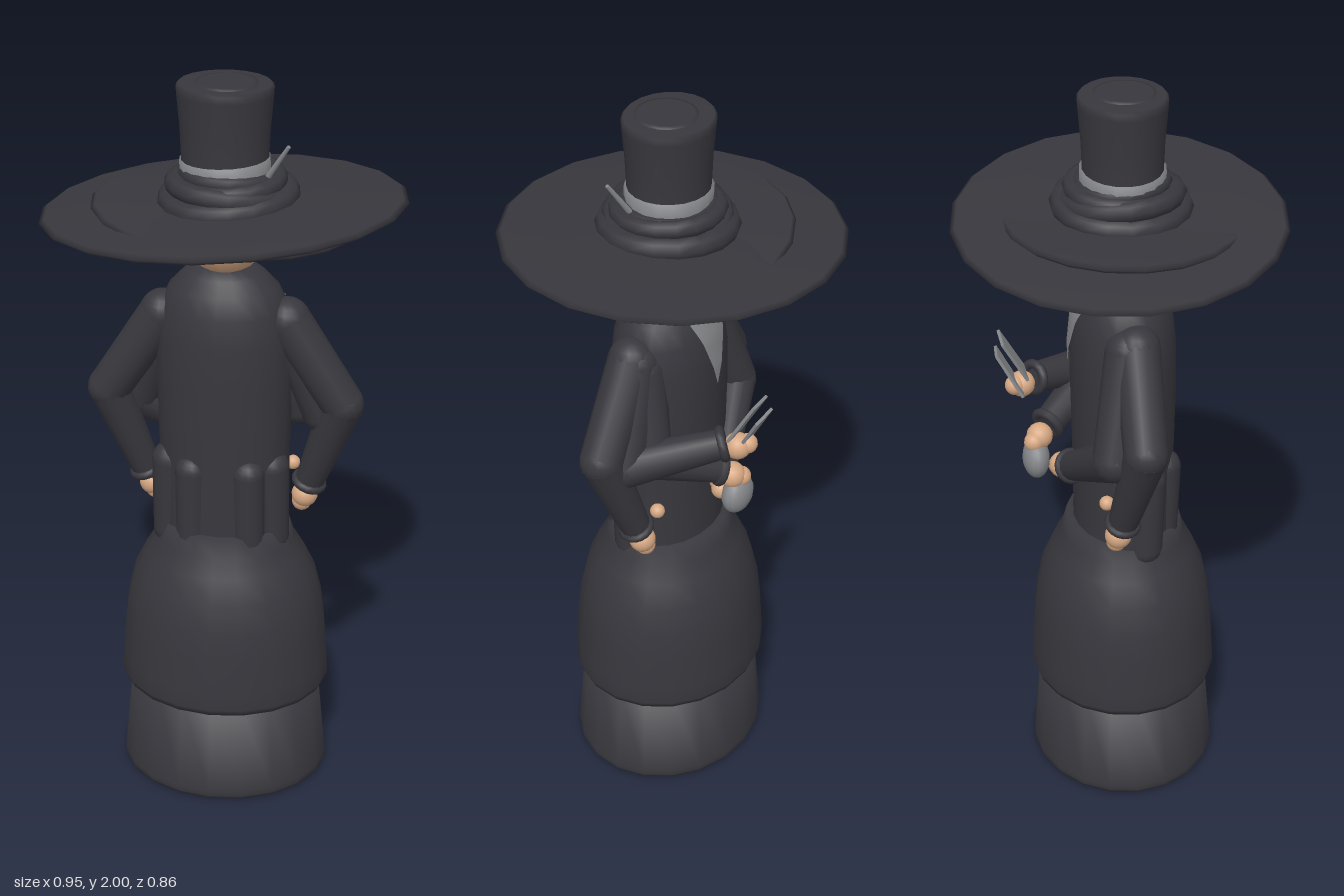
import * as THREE from 'three';

const mat = (name, color, side = THREE.FrontSide) => {
  const m = new THREE.MeshStandardMaterial({ color, side });
  m.name = name;
  return m;
};

export function createModel() {
  const cloth = mat('charcoal cloth', 0x37373d);
  const skin = mat('skin', 0xd6a883);
  const grey = mat('grey', 0x85878a);
  const model = new THREE.Group();
  model.name = 'robedFigure';

  const V = (a) => new THREE.Vector3(...a);
  const add = (name, geo, m, pos = [0, 0, 0], parent = model) => {
    const mesh = new THREE.Mesh(geo, m);
    mesh.name = name;
    mesh.position.set(...pos);
    parent.add(mesh);
    return mesh;
  };
  const ball = (name, r, m, pos, scale = [1, 1, 1], parent = model) => {
    const b = add(name, new THREE.SphereGeometry(r, 16, 12), m, pos, parent);
    b.scale.set(...scale);
    return b;
  };
  const lathe = (name, pts, m, pos, zScale = 1, seg = 20) => {
    const profile = pts.map(([r, y]) => new THREE.Vector2(r, y));
    const l = add(name, new THREE.LatheGeometry(profile, seg), m, pos);
    l.scale.z = zScale;
    return l;
  };
  // Tapered round bar between two points
  const bar = (name, a, b, ra, rb, m, parent = model) => {
    const p = V(a), q = V(b), d = q.clone().sub(p);
    const s = add(name, new THREE.CylinderGeometry(rb, ra, d.length(), 14), m,
      p.clone().add(q).multiplyScalar(0.5).toArray(), parent);
    s.quaternion.setFromUnitVectors(new THREE.Vector3(0, 1, 0), d.normalize());
    return s;
  };

  // Skirt in two tiers, and the coat body
  lathe('lowerSkirt', [[0, 0.005], [0.285, 0.005], [0.29, 0.015], [0.29, 0.03], [0.264, 0.3], [0, 0.3]],
    cloth, [0.008, 0, 0.01], 0.885);
  lathe('upperSkirt', [[0.25, 0.285], [0.285, 0.282], [0.292, 0.3], [0.289, 0.35], [0.282, 0.45], [0.272, 0.53],
    [0.252, 0.61], [0.22, 0.675], [0.19, 0.725], [0.174, 0.775], [0, 0.78]], cloth, [0.008, 0, 0.01], 0.885);
  lathe('coatBody', [[0.18, 0.7], [0.176, 0.8], [0.178, 1.0], [0.183, 1.2], [0.181, 1.32], [0.17, 1.4],
    [0.145, 1.455], [0.11, 1.492], [0.075, 1.515], [0, 1.52]], cloth, [0.006, 0, 0.01], 0.77);

  // Two long folds down the back of the coat, and one on each flank
  for (const [x, z, w] of [[-0.065, 0.108, 0.045], [0.087, 0.108, 0.045], [-0.135, 0.05, 0.05], [0.14, 0.05, 0.05]]) {
    const fold = add('coatFold', new THREE.CapsuleGeometry(w, 0.21, 6, 14), cloth, [x, 0.85, z]);
    fold.rotation.x = 0.04;
  }

  // Shirt front: a thin wedge bent around the chest
  const bib = new THREE.PlaneGeometry(1, 1, 8, 10);
  const bp = bib.attributes.position;
  for (let i = 0; i < bp.count; i++) {
    const t = bp.getY(i) + 0.5;
    const x = bp.getX(i) * 0.14 * t;
    const y = 1.25 + 0.205 * t;
    const R = y < 1.32 ? 0.183 : y < 1.4 ? 0.181 - (y - 1.32) * 0.14 : 0.17 - (y - 1.4) * 0.455;
    bp.setXYZ(i, 0.006 - x, y, 0.004 - 0.77 * Math.sqrt(R * R - x * x));
  }
  bib.computeVertexNormals();
  add('shirtFront', bib, mat('shirt grey', 0x85878a, THREE.DoubleSide));

  // Arms: sleeve, cuff and hand
  const arm = (name, shoulder, elbow, wrist, hand) => {
    const g = new THREE.Group();
    g.name = name;
    model.add(g);
    ball('shoulder', 0.062, cloth, shoulder, [1, 1, 1], g);
    bar('upperSleeve', shoulder, elbow, 0.062, 0.058, cloth, g);
    ball('elbow', 0.058, cloth, elbow, [1, 1, 1], g);
    bar('lowerSleeve', elbow, wrist, 0.058, 0.04, cloth, g);
    const dir = V(wrist).sub(V(elbow)).normalize();
    const cuff = add('cuff', new THREE.TorusGeometry(0.037, 0.013, 8, 16), cloth, wrist, g);
    cuff.quaternion.setFromUnitVectors(new THREE.Vector3(0, 0, 1), dir);
    ball('palm', 0.036, skin, hand, [1, 1, 1], g);
    const tip = V(hand).addScaledVector(dir, 0.026);
    ball('fingers', 0.027, skin, tip.toArray(), [1, 1, 1], g);
  };
  for (const s of [-1, 1]) {
    const cx = 0.008;
    arm('hipArm', [cx + s * 0.165, 1.37, 0.02], [cx + s * 0.315, 1.14, 0.02],
      [cx + s * 0.225, 0.88, -0.025], [cx + s * 0.212, 0.835, -0.035]);
    ball('thumb', 0.02, skin, [cx + s * 0.175, 0.915, -0.06]);
  }
  arm('raisedArm', [0.17, 1.36, 0.01], [0.27, 1.1, -0.01], [0.115, 1.155, -0.215], [0.095, 1.15, -0.25]);
  arm('mirrorArm', [0.16, 1.34, 0], [0.2, 1.1, -0.05], [0.07, 1.035, -0.185], [0.05, 1.01, -0.21]);
  arm('crossedArm', [-0.155, 1.36, 0], [-0.24, 1.09, -0.05], [-0.03, 0.955, -0.135], [0.005, 0.94, -0.155]);

  // Held items: rounded mirror and two thin cards
  ball('handMirror', 0.057, grey, [0.04, 0.948, -0.222], [1, 0.98, 0.65]);
  [[0.09, 1.24, -0.272, 0.12], [0.075, 1.2, -0.285, -0.12]].forEach(([x, y, z, roll]) => {
    const card = add('card', new THREE.BoxGeometry(0.075, 0.14, 0.008), grey, [x, y, z]);
    card.rotation.set(-0.5, 0, roll);
  });

  // Head with a dark band under the hat
  ball('head', 0.11, skin, [0.008, 1.59, 0.005], [0.97, 0.9, 1.05]);
  const band = add('headBand', new THREE.TorusGeometry(0.107, 0.015, 8, 20), cloth, [0.012, 1.613, 0.005]);
  band.rotation.set(Math.PI / 2, 0.04, 0);

  // Hat brim: two thin discs tilted against each other
  const disc = [[0, -0.016], [0.7, -0.016], [0.96, -0.012], [1, 0], [0.97, 0.01], [0.7, 0.014], [0.35, 0.026], [0, 0.03]];
  const brim = (name, rx, rz, pos, tiltX, tiltZ) => {
    const b = lathe(name, disc, cloth, pos, 1, 20);
    b.scale.set(rx, 1, rz);
    b.rotation.set(tiltX, 0, tiltZ);
  };
  brim('wideBrim', 0.478, 0.432, [0, 1.666, 0], -0.025, 0.075);
  brim('innerBrim', 0.355, 0.315, [0.015, 1.66, 0.012], 0.02, -0.055);
  brim('lowerBrim', 0.15, 0.15, [0.02, 1.632, 0.01], 0, 0.05);

  // Wrapped rolls at the base of the crown
  for (const [r, t, y, tx, tz] of [[0.155, 0.03, 1.7, 0.03, 0.06], [0.14, 0.027, 1.722, -0.06, -0.09],
    [0.128, 0.024, 1.743, 0.05, 0.03], [0.11, 0.02, 1.757, -0.05, -0.05]]) {
    const wrap = new THREE.TorusGeometry(r, t, 8, 18);
    wrap.rotateX(Math.PI / 2);
    add('hatWrap', wrap, cloth, [0.016, y, 0.008]).rotation.set(tx, 0, tz);
  }

  // Crown with its slightly raised lid, grey ribbon and pin
  lathe('crown', [[0.118, 1.68], [0.112, 1.78], [0.116, 1.88], [0.124, 1.97], [0.125, 1.988], [0.118, 1.995], [0, 1.997]],
    cloth, [0.007, 0, 0.01], 0.92);
  lathe('crownLid', [[0.08, 1.99], [0.08, 1.998], [0.07, 2], [0, 2]], cloth, [0.012, 0, 0.015]);
  const ribbon = lathe('ribbon', [[0.117, -0.018], [0.117, 0.018], [0.1, 0.018]], grey, [0.007, 1.783, 0.01], 0.95);
  ribbon.rotation.z = 0.05;
  bar('hatPin', [0.12, 1.762, 0.05], [0.18, 1.86, 0.08], 0.008, 0.005, grey);

  // Shoe soles just showing under the hem
  for (const x of [-0.055, 0.07]) ball('sole', 0.03, grey, [x, 0.004, -0.02], [0.8, 0.13, 1.2]);

  return model;
}
